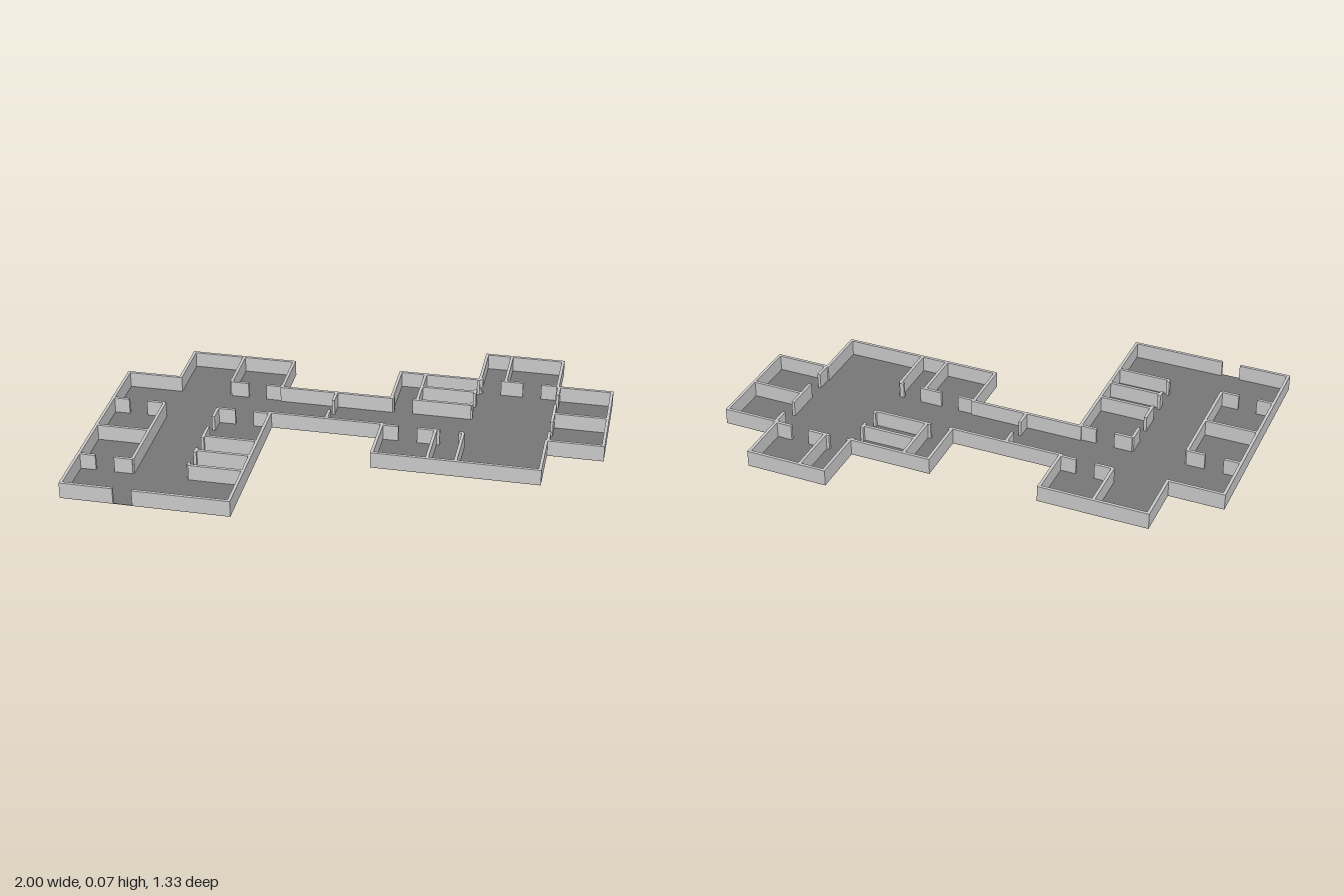
import * as THREE from 'three';

const U = 1 / 9;       // plan module
const H = 0.067;       // wall height
const T = 0.012;       // wall thickness
const DOOR = 0.075;    // door width
const BASE = 0.002;    // floor thickness

// Extrudes a plan shape (x, z) upward from y0 to y1.
function extrudePlan(points, y0, y1, material, name) {
  const shape = new THREE.Shape(points);
  const geo = new THREE.ExtrudeGeometry(shape, { depth: y1 - y0, bevelEnabled: false });
  geo.rotateX(Math.PI / 2).translate(0, y1, 0);
  const mesh = new THREE.Mesh(geo, material);
  mesh.name = name;
  return mesh;
}

// Offsets an open right-angled path inward by the wall thickness.
function insetPath(path) {
  const normal = (a, b) => {
    if (!a || !b) return new THREE.Vector2();
    const d = b.clone().sub(a).normalize();
    return new THREE.Vector2(-d.y, d.x);
  };
  return path.map((p, i) => p.clone()
    .addScaledVector(normal(path[i - 1], p), T)
    .addScaledVector(normal(p, path[i + 1]), T));
}

export function createModel() {
  const group = new THREE.Group();
  group.name = 'floorPlan';
  const wallMat = new THREE.MeshStandardMaterial({ color: 0xcccccc });
  const floorMat = new THREE.MeshStandardMaterial({ color: 0x777777 });

  // Outline of the two buildings and the linking corridor, in modules
  const outline = [
    [-9, 6], [-9, -2], [-7, -2], [-7, -4], [-3, -4], [-3, -2], [1, -2], [1, -4], [4, -4], [4, -6],
    [7, -6], [7, -4], [9, -4], [9, 0], [7, 0], [7, 2], [1, 2], [1, 0], [-3, 0], [-3, 6],
  ].map(([x, z]) => new THREE.Vector2(x * U, z * U));
  group.add(extrudePlan(outline, 0, BASE, floorMat, 'floor'));

  // Outer wall, interrupted by the front entrance
  const outer = [new THREE.Vector2(-0.79, 6 * U), ...outline, new THREE.Vector2(-0.715, 6 * U)];
  const ring = [...outer, ...insetPath(outer).reverse()];
  group.add(extrudePlan(ring, BASE, H, wallMat, 'outerWall'));

  const inner = new THREE.Group();
  inner.name = 'innerWalls';
  group.add(inner);

  // Straight wall along x or z at a fixed line, split by doors centred at the given places
  function wall(axis, line, from, to, doors = []) {
    const cuts = [from * U];
    doors.forEach((d) => cuts.push(d * U - DOOR / 2, d * U + DOOR / 2));
    cuts.push(to * U);
    for (let i = 0; i < cuts.length; i += 2) {
      const len = cuts[i + 1] - cuts[i];
      const mid = (cuts[i + 1] + cuts[i]) / 2;
      const alongX = axis === 'x';
      const geo = new THREE.BoxGeometry(alongX ? len : T, H - BASE, alongX ? T : len);
      const mesh = new THREE.Mesh(geo, wallMat);
      mesh.name = 'partition';
      mesh.position.set(alongX ? mid : line * U, (H + BASE) / 2, alongX ? line * U : mid);
      inner.add(mesh);
    }
  }

  // Right building: back room
  wall('z', -5, -4, -2);
  wall('x', -2, -5, -3, [-4]);
  // Right building: two rooms on the outer side
  wall('z', -7, 0, 4);
  wall('x', 0, -9, -7, [-8]);
  wall('x', 2, -9, -7);
  wall('x', 4, -9, -7, [-8]);
  // Right building: three rooms on the inner side
  wall('z', -5, 0, 4, [1, 2.5, 3.5]);
  wall('x', 0, -5, -3, [-4]);
  [2, 3, 4].forEach((z) => wall('x', z, -5, -3));

  // Corridor divider
  wall('z', -1, -2, 0, [-1]);

  // Left building: small rooms at the back
  wall('z', 2, -4, -2);
  wall('z', 4, -4, -2, [-3.5, -2.5]);
  wall('x', -3, 2, 4);
  wall('x', -2, 1, 4, [1.5]);
  // Left building: rearmost pair
  wall('z', 5, -6, -4);
  wall('x', -4, 4, 7, [4.5, 6]);
  // Left building: side pair
  wall('z', 7, -4, 0, [-3, -1]);
  wall('x', -2, 7, 9);
  // Left building: front pair
  wall('z', 3, 0, 2);
  wall('z', 4, 0, 2);
  wall('x', 0, 1, 4, [2, 3.5]);

  return group;
}
